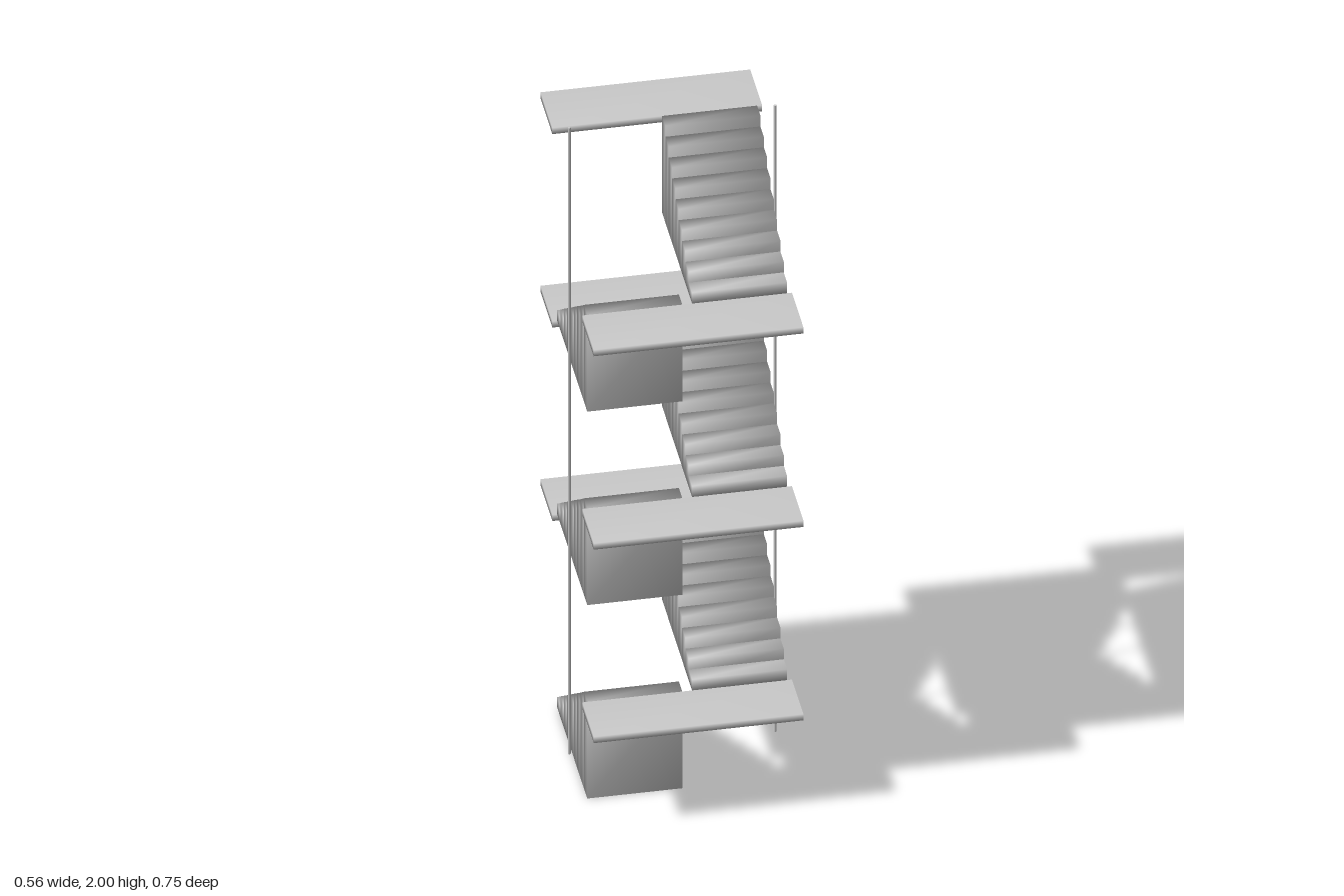
import * as THREE from 'three';
import { mergeVertices } from 'three/addons/utils/BufferGeometryUtils.js';

const FLIGHTS = 6, STEPS = 9;
const RISE = 0.309;               // height of one flight
const Z_BACK = -0.208, Z_FRONT = 0.213;
const RISER = RISE / STEPS;
const TREAD = (Z_FRONT - Z_BACK) / STEPS;

const material = new THREE.MeshStandardMaterial({ color: 0xcccccc });

// Box between two corners, with shared corners for soft shading
function softBox(name, x0, x1, y0, y1, z0, z1) {
  let geo = new THREE.BoxGeometry(x1 - x0, y1 - y0, z1 - z0);
  geo.deleteAttribute('uv');
  geo.deleteAttribute('normal');
  geo = mergeVertices(geo);
  geo.computeVertexNormals();
  const mesh = new THREE.Mesh(geo, material);
  mesh.name = name;
  mesh.position.set((x0 + x1) / 2, (y0 + y1) / 2, (z0 + z1) / 2);
  return mesh;
}

// One flight of solid steps; even flights climb to the front, odd ones to the back
function makeFlight(index) {
  const flight = new THREE.Group();
  flight.name = 'flight' + (index + 1);
  const toFront = index % 2 === 0;
  const base = index * RISE;
  const [x0, x1] = toFront ? [-0.266, -0.013] : [0.013, 0.266];
  for (let i = 0; i < STEPS; i++) {
    const z0 = toFront ? Z_BACK + i * TREAD : Z_FRONT - (i + 1) * TREAD;
    flight.add(softBox('step', x0, x1, base, base + (i + 1) * RISER, z0, z0 + TREAD));
  }
  return flight;
}

// Landing slab at the top of a flight
function makeLanding(index) {
  const top = (index + 1) * RISE;
  const [z0, z1] = index % 2 === 0 ? [Z_FRONT, 0.373] : [-0.373, Z_BACK];
  return softBox('landing' + (index + 1), -0.279, 0.279, top - 0.02, top, z0, z1);
}

export function createModel() {
  const model = new THREE.Group();
  model.name = 'staircase';
  for (let i = 0; i < FLIGHTS; i++) model.add(makeFlight(i), makeLanding(i));

  // Thin upright poles on both sides
  for (const side of [-1, 1]) {
    const pole = new THREE.Mesh(new THREE.CylinderGeometry(0.004, 0.004, 2, 8), material);
    pole.name = side > 0 ? 'leftPole' : 'rightPole';
    pole.position.set(side * 0.274, 1, 0.003);
    model.add(pole);
  }
  return model;
}
